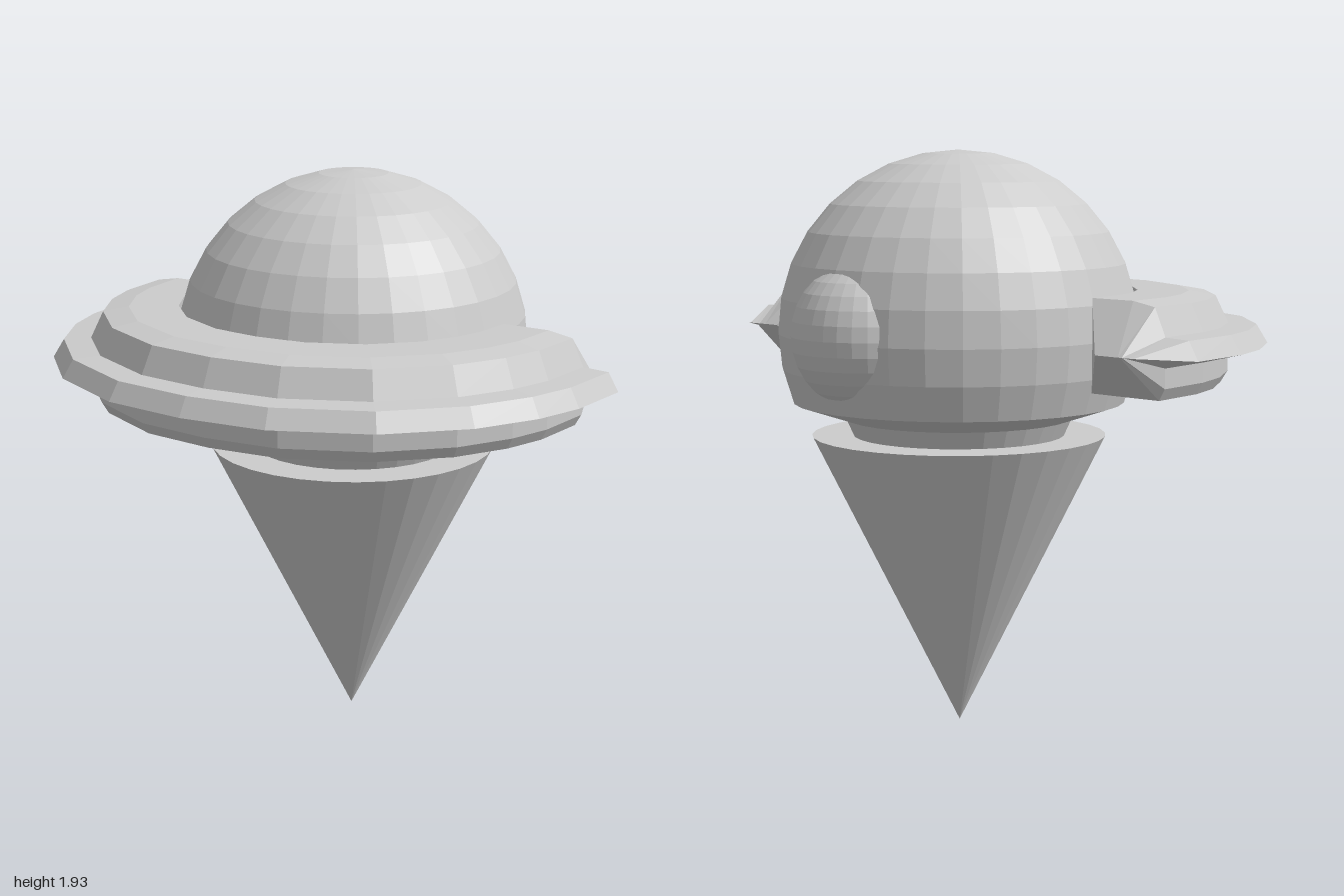
import * as THREE from 'three';

const AXIS_Z = -0.17; // shared vertical axis of dome, cone and brim
const grey = new THREE.MeshStandardMaterial({ color: 0xcccccc, flatShading: true });
grey.name = 'plain grey';

function addPart(group, name, geometry, x, y, z) {
  const mesh = new THREE.Mesh(geometry, grey);
  mesh.name = name;
  mesh.position.set(x, y, z);
  group.add(mesh);
}

// Ball with its lower rows pinched into a narrow neck
function ballGeometry() {
  const pts = [[0, 0.98], [0.35, 0.98], [0.38, 1.047]];
  for (let k = 10; k >= 0; k--) {
    const a = (k * Math.PI) / 16;
    pts.push([0.6 * Math.sin(a), 1.335 + 0.6 * Math.cos(a)]);
  }
  return new THREE.LatheGeometry(pts.map(p => new THREE.Vector2(...p)), 32);
}

// Stepped half-ring brim whose two ends taper to flat wedge tips
function brimGeometry() {
  const profile = [
    [0.58, 1.175], [0.85, 1.175], [0.872, 1.213], [0.872, 1.277], [0.998, 1.307],
    [0.962, 1.368], [0.872, 1.372], [0.83, 1.462], [0.745, 1.477], [0.58, 1.477],
  ];
  const quarter = [0, 14, 24, 37, 54, 73, 90];
  const angles = [...quarter, ...quarter.slice(0, -1).reverse().map(a => 180 - a)];

  const tip = side => profile.map(([r]) => [side * (0.73 + (r - 0.58) * 0.36), 1.32, -0.165]);
  const sections = [tip(1)];
  for (const deg of angles) {
    const t = THREE.MathUtils.degToRad(deg);
    const bulge = 1 + 0.025 * Math.abs(Math.sin(2 * t));
    sections.push(profile.map(([r, y]) => [r * bulge * Math.cos(t), y, r * bulge * Math.sin(t)]));
  }
  sections.push(tip(-1));

  const n = profile.length;
  const index = [];
  for (let j = 0; j < sections.length - 1; j++) {
    for (let i = 0; i < n; i++) {
      const a = j * n + i, c = j * n + (i + 1) % n;
      index.push(a, c, a + n, c, c + n, a + n);
    }
  }
  const indexed = new THREE.BufferGeometry();
  indexed.setAttribute('position', new THREE.Float32BufferAttribute(sections.flat(2), 3));
  indexed.setIndex(index);
  const geometry = indexed.toNonIndexed();
  geometry.computeVertexNormals();
  return geometry;
}

export function createModel() {
  const model = new THREE.Group();
  model.name = 'capBallOnCone';

  // Pointed cone with a flat closed top
  const cone = new THREE.ConeGeometry(0.492, 0.99, 32);
  cone.rotateX(Math.PI);
  addPart(model, 'cone', cone, 0, 0.495, AXIS_Z);

  addPart(model, 'ball', ballGeometry(), 0, 0, AXIS_Z);
  addPart(model, 'brim', brimGeometry(), 0, 0, AXIS_Z);

  // Round bump on the back
  addPart(model, 'backBump', new THREE.SphereGeometry(0.25, 32, 16), 0, 1.35, -0.583);
  return model;
}
